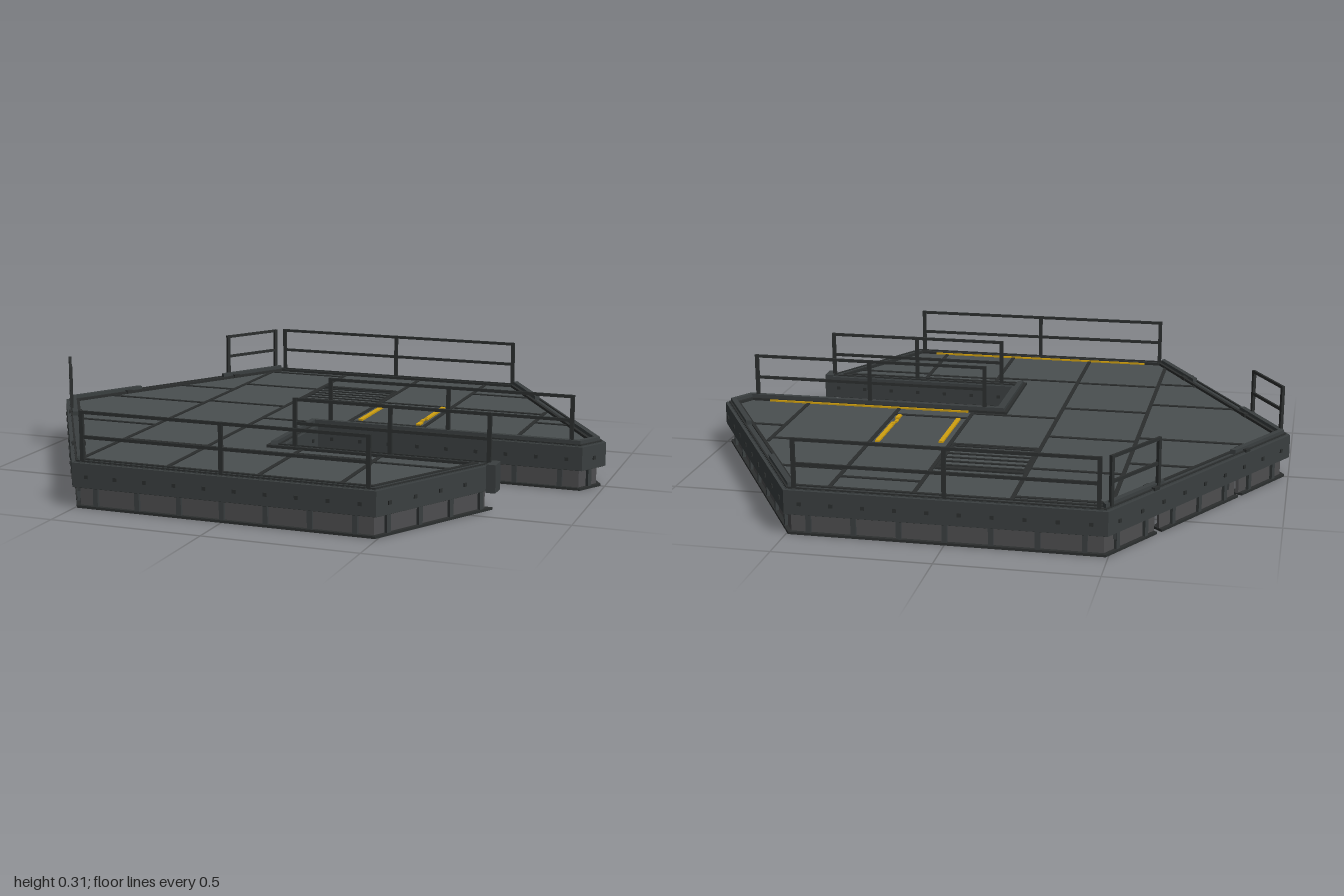
import * as THREE from 'three';

const material = (name, color) => {
  const m = new THREE.MeshStandardMaterial({ color });
  m.name = name;
  return m;
};

export function createModel() {
  const root = new THREE.Group();
  root.name = 'hexagonalPlatform';
  const deckMat = material('deck grey', 0x4a4f50);
  const fasciaMat = material('fascia grey', 0x3a3f40);
  const wallMat = material('lower wall grey', 0x4d4d4f);
  const darkMat = material('dark trim', 0x2b2e2e);
  const underMat = material('underside black', 0x282a29);
  const yellowMat = material('safety yellow', 0xd0a010);

  const group = (name) => {
    const g = new THREE.Group();
    g.name = name;
    root.add(g);
    return g;
  };
  const addMesh = (parent, name, geo, mat) => {
    const m = new THREE.Mesh(geo, mat);
    m.name = name;
    parent.add(m);
    return m;
  };
  const box = (parent, name, mat, x, y, z, w, h, d) => {
    const m = addMesh(parent, name, new THREE.BoxGeometry(w, h, d), mat);
    m.position.set(x, y, z);
    return m;
  };

  // Plan outline, counter-clockwise, as (x, -z): a hexagon with a slot cut in from +x
  const outline = [
    [1, 0], [0.5, 0.862], [-0.5, 0.862], [-1, 0], [-0.5, -0.862], [0.5, -0.862],
    [0.75, -0.4], [0.03, -0.4], [0.03, -0.1], [0.943, -0.1],
  ].map(([x, y]) => new THREE.Vector2(x, y));
  const n = outline.length;
  const edgeDir = (i) => outline[(i + 1) % n].clone().sub(outline[i]).normalize();

  // Mitred inset of the outline
  const inset = (d) => outline.map((p, i) => {
    const a = edgeDir((i + n - 1) % n), b = edgeDir(i);
    const na = new THREE.Vector2(-a.y, a.x), nb = new THREE.Vector2(-b.y, b.x);
    return na.clone().add(nb).multiplyScalar(d / (1 + na.dot(nb))).add(p);
  });
  const slab = (parent, name, mat, pts, y0, y1) => {
    const geo = new THREE.ExtrudeGeometry(new THREE.Shape(pts), { depth: y1 - y0, bevelEnabled: false });
    geo.rotateX(-Math.PI / 2).translate(0, y0, 0);
    return addMesh(parent, name, geo, mat);
  };
  // Mitred strip along part of one edge, between two inset distances
  const strip = (parent, name, mat, i, t0, t1, d0, d1, y0, y1) => {
    const o = inset(d0), q = inset(d1), j = (i + 1) % n;
    const at = (ring, t) => ring[i].clone().lerp(ring[j], t);
    slab(parent, name, mat, [at(o, t0), at(o, t1), at(q, t1), at(q, t0)], y0, y1);
  };
  // Box turned to follow an edge; s is the distance along it
  const edgeBox = (parent, name, mat, i, s, d, y, w, h, depth) => {
    const u = edgeDir(i);
    const p = outline[i].clone().addScaledVector(u, s).add(new THREE.Vector2(-u.y, u.x).multiplyScalar(d));
    const m = box(parent, name, mat, p.x, y, -p.y, w, h, depth);
    m.rotation.y = Math.atan2(u.y, u.x);
  };

  // Deck and underside
  slab(root, 'deck', deckMat, inset(0.008), 0.075, 0.145);
  slab(root, 'underside', underMat, inset(0.004), 0.068, 0.075);

  // Edge structure: fascia, curb, lower wall, foot flange, ribs and bolts
  const fascia = group('fascia'), curb = group('curb'), base = group('lowerWall');
  for (let i = 0; i < n; i++) {
    const length = outline[i].distanceTo(outline[(i + 1) % n]);
    strip(fascia, 'fasciaPanel', fasciaMat, i, 0, 1, 0, 0.012, 0.07, 0.148);
    strip(curb, 'curbStrip', fasciaMat, i, 0, 1, 0.01, 0.045, 0.14, 0.15);
    strip(curb, 'curbOuterLine', darkMat, i, 0, 1, 0.012, 0.018, 0.14, 0.154);
    strip(curb, 'curbInnerLine', darkMat, i, 0, 1, 0.036, 0.047, 0.14, 0.154);

    const raised = [0, 2, 3].includes(i) ? [[0, 0.3], [0.7, 1]] : i >= 7 ? [[0, 1]] : [];
    for (const [a, b] of raised) strip(curb, 'raisedCurb', fasciaMat, i, a, b, 0.018, 0.036, 0.14, 0.165);

    // The two left edges have drainage gaps
    const spans = i === 2 || i === 3 ? [[0, 0.26], [0.285, 0.715], [0.74, 1]] : [[0, 1]];
    for (const [a, b] of spans) {
      strip(base, 'wallPanel', wallMat, i, a, b, 0.025, 0.035, 0.006, 0.07);
      strip(base, 'footFlange', darkMat, i, a, b, 0.012, 0.055, 0, 0.008);
    }
    const ribs = Math.max(1, Math.round(length / 0.15));
    for (let k = 0; k < ribs; k++)
      edgeBox(base, 'rib', fasciaMat, i, (k + 0.5) * length / ribs, 0.021, 0.038, 0.016, 0.062, 0.012);
    const bolts = Math.max(1, Math.round(length / 0.105));
    for (let k = 0; k < bolts; k++)
      edgeBox(fascia, 'bolt', darkMat, i, (k + 0.5) * length / bolts, 0, 0.106, 0.012, 0.012, 0.008);
  }
  // Covers over the drainage gaps
  for (const i of [2, 3]) for (const s of [0.25, 0.75])
    edgeBox(curb, 'curbJoint', darkMat, i, s, 0.028, 0.152, 0.025, 0.012, 0.045);
  box(fascia, 'slotEndPost', fasciaMat, 0.735, 0.11, 0.43, 0.03, 0.09, 0.06);

  // Deck seams: lengthwise [x, z0, z1] and crosswise [z, x0, x1]
  const seams = group('deckSeams');
  const seamY = 0.146, seamH = 0.005;
  for (const [x, a, b] of [
    [-0.5, -0.8, 0.8], [-0.2, -0.81, 0.81], [0.103, -0.81, 0.05], [0.103, 0.45, 0.81],
    [0.37, -0.81, 0.05], [0.37, 0.45, 0.81], [0.705, -0.4, 0.05],
  ]) box(seams, 'longSeam', darkMat, x, seamY, (a + b) / 2, 0.013, seamH, b - a);
  for (const [z, a, b] of [
    [-0.4, -0.73, -0.5], [-0.13, -0.88, -0.5], [0.27, -0.8, -0.5], [0.54, -0.65, -0.5],
    [-0.78, -0.5, -0.2], [-0.51, -0.5, -0.2], [-0.17, -0.5, -0.2], [0.165, -0.5, -0.2], [0.5, -0.5, -0.2],
    [-0.31, -0.2, 0.1], [0.04, -0.2, 0.1], [0.51, -0.2, 0.1],
    [-0.7, 0.1, 0.37], [-0.36, 0.1, 0.37], [-0.02, 0.1, 0.37], [0.5, 0.1, 0.37],
    [-0.63, 0.37, 0.6], [-0.36, 0.37, 0.7], [0.52, 0.37, 0.64], [-0.22, 0.7, 0.83],
  ]) box(seams, 'crossSeam', darkMat, (a + b) / 2, seamY, z, b - a, seamH, 0.013);

  // Louvred vent
  const vent = group('vent');
  box(vent, 'ventHeader', darkMat, -0.05, 0.147, -0.56, 0.28, 0.008, 0.022);
  for (let k = 0; k < 6; k++) box(vent, 'louvre', darkMat, -0.05, seamY, -0.53 + k * 0.04, 0.28, 0.006, 0.009);
  for (const x of [-0.19, 0.09]) box(vent, 'ventSide', darkMat, x, seamY, -0.44, 0.008, 0.006, 0.26);

  // Painted safety lines [x, z, width, depth]
  const paint = group('safetyLines');
  for (const [x, z, w, d] of [
    [0, 0.814, 0.83, 0.011], [0.485, 0.052, 0.73, 0.011],
    [0.135, -0.285, 0.015, 0.045], [0.135, -0.15, 0.015, 0.22],
    [0.345, -0.245, 0.015, 0.19], [0.345, -0.135, 0.015, 0.02],
    [0.34, -0.105, 0.01, 0.025], [0.345, -0.055, 0.015, 0.04],
  ]) box(paint, 'paintedLine', yellowMat, x, 0.149, z, w, 0.006, d);

  // Guard rails between two deck points, with evenly spaced posts
  const rail = (name, x0, z0, x1, z1, posts) => {
    const g = group(name);
    const length = Math.hypot(x1 - x0, z1 - z0);
    g.position.set((x0 + x1) / 2, 0, (z0 + z1) / 2);
    g.rotation.y = Math.atan2(z0 - z1, x1 - x0);
    for (const y of [0.307, 0.229]) box(g, 'railBar', darkMat, 0, y, 0, length, 0.01, 0.008);
    for (let k = 0; k < posts; k++)
      box(g, 'railPost', darkMat, (k / (posts - 1) - 0.5) * length, 0.228, 0, 0.013, 0.168, 0.01);
  };
  rail('frontRail', -0.47, 0.845, 0.47, 0.845, 3);
  rail('backRail', -0.47, -0.845, 0.47, -0.845, 3);
  rail('slotBackRail', 0.065, 0.07, 0.9, 0.07, 3);
  rail('slotFrontRail', 0.075, 0.428, 0.72, 0.428, 3);
  rail('sideBackRail', -0.62, -0.62, -0.503, -0.822, 2);
  rail('sideFrontRail', -0.967, 0.022, -0.863, 0.202, 2);

  // Floor beams under the deck [x, z0, z1]
  const beams = group('floorBeams');
  for (const [x, a, b] of [
    [-0.8, -0.29, 0.29], [-0.5, -0.8, 0.8], [-0.2, -0.82, 0.82], [0.1, -0.82, 0.06],
    [0.1, 0.44, 0.82], [0.4, -0.82, 0.06], [0.4, 0.44, 0.82], [0.7, -0.46, 0.06],
  ]) box(beams, 'floorBeam', fasciaMat, x, 0.055, (a + b) / 2, 0.035, 0.03, b - a);

  // Corner gusset in the slot
  slab(root, 'slotGusset', wallMat, [[0.105, -0.3], [0.27, -0.1], [0.105, -0.1]]
    .map(([x, y]) => new THREE.Vector2(x, y)), 0.06, 0.066);

  return root;
}
